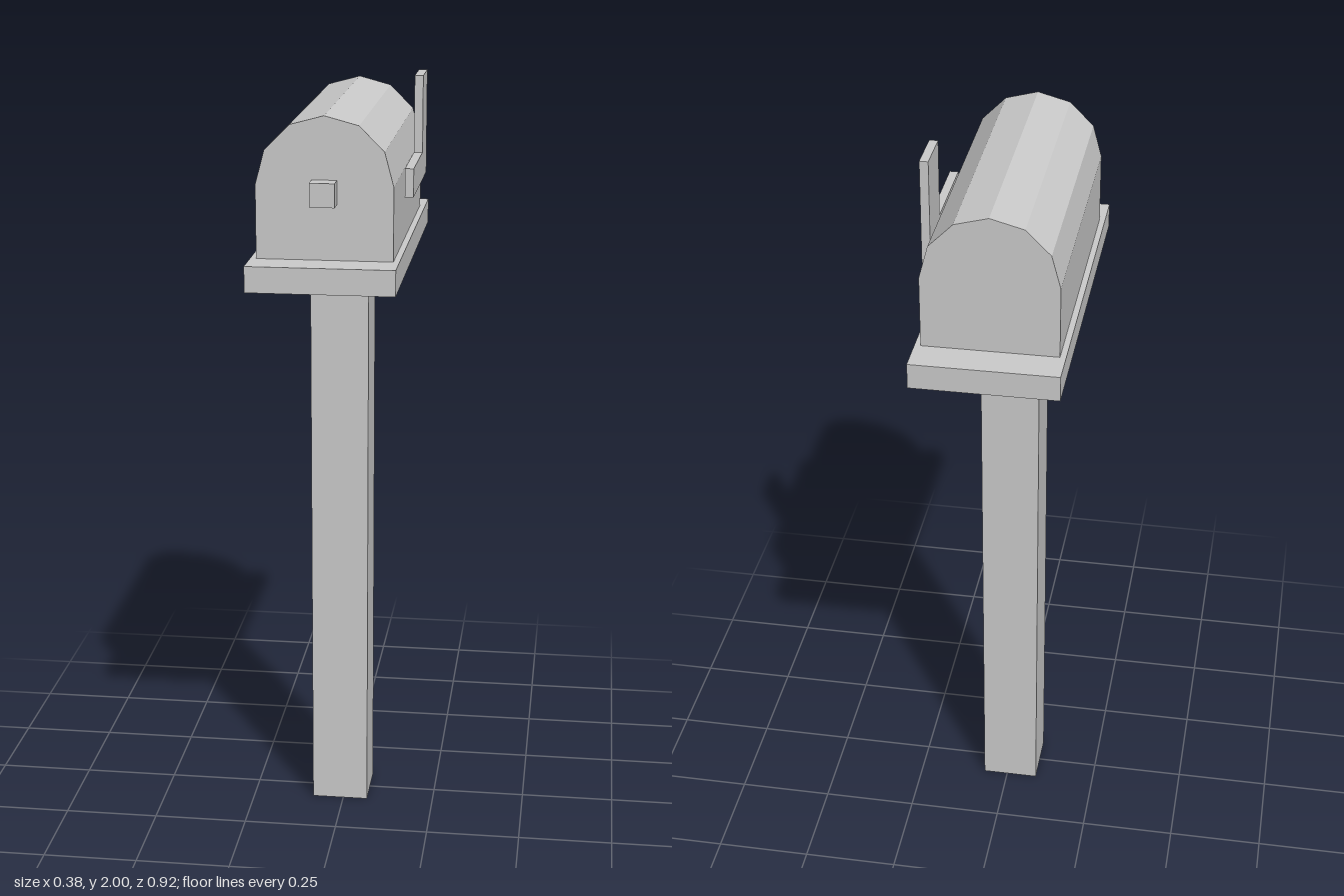
import * as THREE from 'three';

const grey = new THREE.MeshStandardMaterial({ color: 0xcccccc, side: THREE.DoubleSide, flatShading: true });
grey.name = 'light grey';

const CX = -0.009; // the box, board and post share this centre line

function createPart(name, geometry) {
  const mesh = new THREE.Mesh(geometry, grey);
  mesh.name = name;
  return mesh;
}

// Box given by its limits; openBottom drops the face that looks down
function boxBetween([x0, y0, z0], [x1, y1, z1], openBottom = false) {
  const geo = new THREE.BoxGeometry(x1 - x0, y1 - y0, z1 - z0);
  geo.translate((x0 + x1) / 2, (y0 + y1) / 2, (z0 + z1) / 2);
  if (openBottom) {
    const index = Array.from(geo.index.array);
    index.splice(18, 6);
    geo.setIndex(index);
  }
  geo.clearGroups();
  return geo;
}

// Barrel-topped box: straight walls under a six-sided half circle
function barrelGeometry() {
  const r = 0.169, base = 1.605, spring = 1.788, back = -0.368, front = 0.368;
  const points = [new THREE.Vector2(CX - r, base), new THREE.Vector2(CX + r, base)];
  for (let i = 0; i <= 6; i++) {
    const a = (i / 6) * Math.PI;
    points.push(new THREE.Vector2(CX + r * Math.cos(a), spring + r * Math.sin(a)));
  }
  const geo = new THREE.ExtrudeGeometry(new THREE.Shape(points), { depth: front - back, bevelEnabled: false });
  return geo.translate(0, 0, back);
}

// L-shaped flag: drawn in profile, then turned to lie along the side
function flagGeometry() {
  const outline = [
    [-0.185, 1.73], [0.184, 1.73], [0.184, 2], [0.062, 2], [0.062, 1.802], [-0.185, 1.802],
  ].map(([x, y]) => new THREE.Vector2(x, y));
  const geo = new THREE.ExtrudeGeometry(new THREE.Shape(outline), { depth: 0.022, bevelEnabled: false });
  return geo.rotateY(Math.PI / 2).translate(0.169, 0, 0);
}

export function createModel() {
  const model = new THREE.Group();
  model.name = 'mailbox';
  model.add(
    // Hollow post, open at the foot
    createPart('post', boxBetween([CX - 0.076, 0, -0.077], [CX + 0.076, 1.6, 0.077], true)),
    // Board, hollow underneath
    createPart('board', boxBetween([CX - 0.184, 1.54, -0.46], [CX + 0.184, 1.605, 0.46], true)),
    createPart('barrelBox', barrelGeometry()),
    createPart('doorKnob', boxBetween([CX - 0.031, 1.743, 0.36], [CX + 0.031, 1.802, 0.414])),
    createPart('flag', flagGeometry()),
  );
  return model;
}
